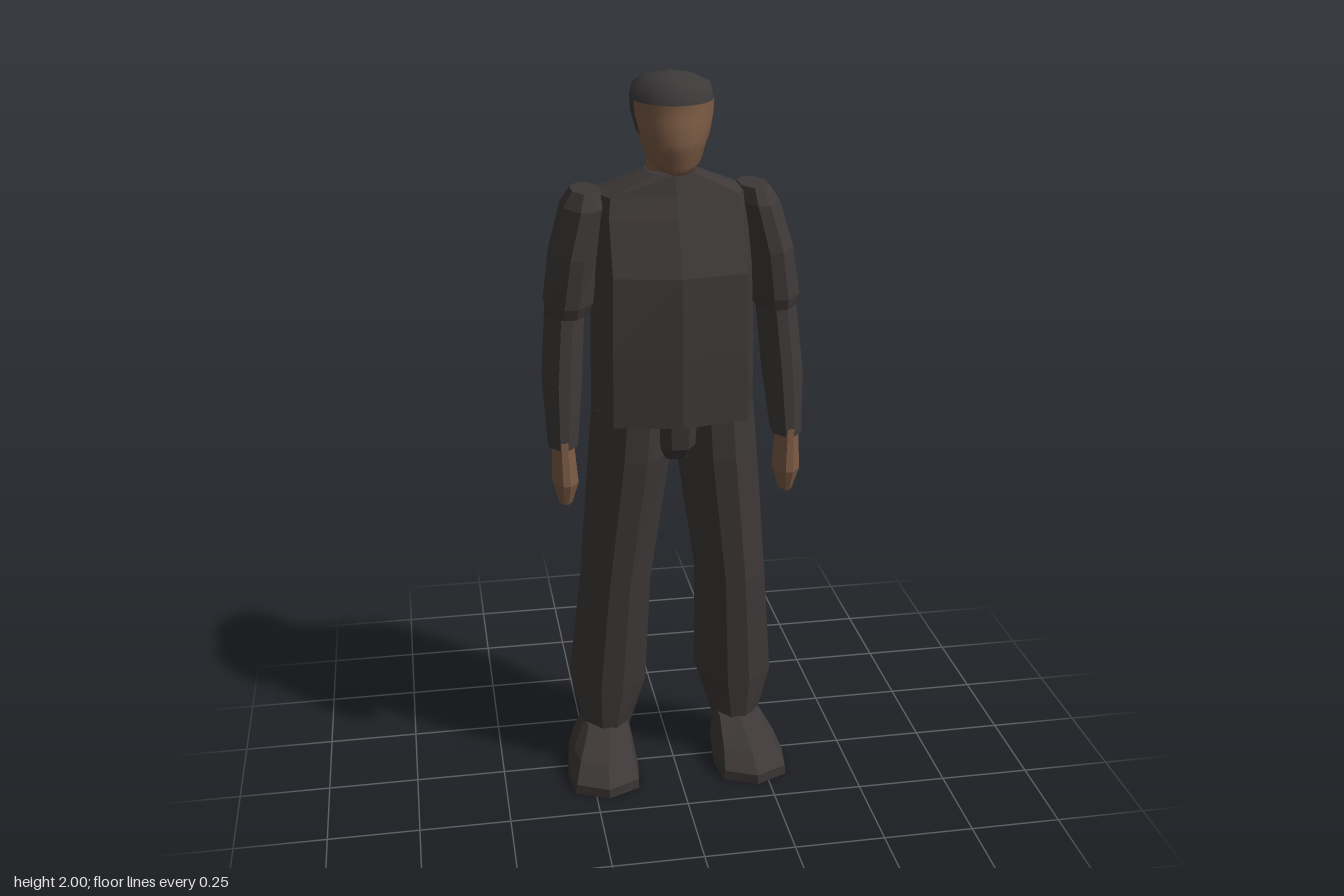
import * as THREE from 'three';

const mat = (name, color, flatShading = true) => {
  const m = new THREE.MeshStandardMaterial({ color, flatShading });
  m.name = name;
  return m;
};

// Outlines seen from above: [x, z] from the front round the +x side to the back
const OUTLINES = {
  torso: [[0, 1], [0.84, 0.8], [1, 0.2], [1, -0.4], [0.84, -0.8], [0, -1]],
  limb: [[0.3, 1], [1, 0.4], [1, -0.45], [0.35, -1]],
  foot: [[0, 1], [0.88, 0.77], [1, 0.25], [0.85, -0.6], [0.45, -1]],
};

// Mirrors a half outline into a closed loop
function closeOutline(half) {
  const other = half.filter(p => p[0] > 0).reverse().map(([x, z]) => [-x, z]);
  return [...half, ...other];
}

// Joins rings of points from bottom to top; keep(i, j) selects quads
function loft(rings, caps = true, keep = () => true) {
  const n = rings[0].length;
  const pos = rings.flat(2);
  const index = [];
  for (let i = 0; i < rings.length - 1; i++) {
    for (let j = 0; j < n; j++) {
      if (!keep(i, j)) continue;
      const k = (j + 1) % n, a = i * n + j, b = i * n + k;
      index.push(a, b, b + n, a, b + n, a + n);
    }
  }
  if (caps) {
    const top = (rings.length - 1) * n;
    for (let j = 1; j < n - 1; j++) {
      index.push(0, j + 1, j, top, top + j, top + j + 1);
    }
  }
  const g = new THREE.BufferGeometry();
  g.setAttribute('position', new THREE.Float32BufferAttribute(pos, 3));
  g.setIndex(index);
  g.computeVertexNormals();
  return g;
}

// Sections are [y, xMin, xMax, zBack, zFront]; side -1 mirrors across x
function solid(name, material, outline, sections, side = 1) {
  const loop = closeOutline(OUTLINES[outline]);
  const rings = sections.map(([y, x0, x1, z0, z1]) => {
    const cx = side * (x0 + x1) / 2, cz = (z0 + z1) / 2;
    return loop.map(([x, z]) => [cx + x * (x1 - x0) / 2, y, cz + z * (z1 - z0) / 2]);
  });
  const mesh = new THREE.Mesh(loft(rings), material);
  mesh.name = name;
  return mesh;
}

// Head rings: [front y, back y, half width, front z, back z]
const HEAD = [
  [1.755, 1.80, 0.055, 0.09, -0.08],
  [1.775, 1.815, 0.072, 0.105, -0.105],
  [1.81, 1.84, 0.083, 0.107, -0.13],
  [1.84, 1.87, 0.094, 0.12, -0.147],
  [1.89, 1.91, 0.106, 0.102, -0.155],
  [1.93, 1.94, 0.109, 0.098, -0.157],
  [1.97, 1.97, 0.1, 0.088, -0.15],
  [1.988, 1.988, 0.062, 0.04, -0.11],
  [2, 2, 0.001, -0.035, -0.037],
];

function createHead(skin, hair) {
  const N = 20;
  const rings = HEAD.map(([yf, yb, w, zf, zb]) => Array.from({ length: N }, (_, j) => {
    const a = (j / N) * Math.PI * 2, c = Math.cos(a);
    return [w * Math.sin(a), yf + (yb - yf) * (1 - c) / 2, (zf + zb) / 2 + c * (zf - zb) / 2];
  }));
  // Hair covers the crown, the sides and the back
  const isHair = (i, j) => {
    const k = (j + 0.5) / N, fromFront = Math.min(k, 1 - k) * N;
    return i >= 5 || fromFront > (i >= 3 ? 4 : i >= 2 ? 5 : 6);
  };
  const head = new THREE.Group();
  head.name = 'head';
  const face = new THREE.Mesh(loft(rings, true, (i, j) => !isHair(i, j)), skin);
  face.name = 'face';
  const cap = new THREE.Mesh(loft(rings, false, isHair), hair);
  cap.name = 'hair';
  head.add(face, cap);
  return head;
}

export function createModel() {
  const cloth = mat('dark cloth', 0x3e3838);
  const skin = mat('skin', 0x7a5a44);
  const faceSkin = skin.clone();
  faceSkin.name = 'face skin';
  faceSkin.flatShading = false;
  const hair = mat('hair', 0x3c3939, false);
  const model = new THREE.Group();
  model.name = 'standingMan';

  // Jacket, neck and the seat between the legs
  model.add(
    solid('torso', cloth, 'torso', [
      [1.10, -0.215, 0.215, -0.188, 0.16],
      [1.30, -0.213, 0.213, -0.172, 0.157],
      [1.50, -0.208, 0.208, -0.183, 0.145],
      [1.64, -0.208, 0.208, -0.193, 0.078],
      [1.69, -0.2, 0.2, -0.175, 0.05],
      [1.745, -0.065, 0.065, -0.125, 0.03],
    ]),
    solid('neck', skin, 'limb', [
      [1.71, -0.06, 0.06, -0.115, 0.0],
      [1.83, -0.055, 0.055, -0.105, 0.0],
    ]),
    solid('seat', cloth, 'limb', [
      [0.975, -0.065, 0.065, -0.09, 0.06],
      [1.02, -0.075, 0.075, -0.14, 0.11],
      [1.12, -0.085, 0.085, -0.15, 0.12],
    ]),
    createHead(faceSkin, hair),
  );

  // Limbs on both sides
  for (const side of [1, -1]) {
    const arm = new THREE.Group();
    arm.name = side > 0 ? 'leftArm' : 'rightArm';
    arm.add(
      solid('upperArm', cloth, 'limb', [
        [1.38, 0.225, 0.335, -0.115, 0.06],
        [1.41, 0.215, 0.34, -0.12, 0.07],
        [1.54, 0.2, 0.32, -0.145, 0.075],
        [1.66, 0.175, 0.285, -0.16, 0.055],
        [1.70, 0.185, 0.26, -0.13, 0.02],
      ], side),
      solid('forearm', cloth, 'limb', [
        [1.03, 0.268, 0.345, -0.02, 0.09],
        [1.20, 0.25, 0.352, -0.075, 0.065],
        [1.40, 0.235, 0.335, -0.11, 0.03],
      ], side),
      solid('hand', skin, 'limb', [
        [0.87, 0.287, 0.322, 0.015, 0.08],
        [0.93, 0.27, 0.338, 0.005, 0.1],
        [1.05, 0.28, 0.335, 0.0, 0.09],
      ], side),
    );

    const leg = new THREE.Group();
    leg.name = side > 0 ? 'leftLeg' : 'rightLeg';
    leg.add(
      solid('trouserLeg', cloth, 'limb', [
        [0.11, 0.125, 0.258, -0.15, 0.02],
        [0.26, 0.08, 0.29, -0.16, 0.042],
        [0.60, 0.07, 0.258, -0.105, 0.08],
        [0.99, 0.015, 0.225, -0.14, 0.115],
        [1.12, 0.01, 0.213, -0.15, 0.118],
      ], side),
      solid('shoe', cloth, 'foot', [
        [0, 0.112, 0.318, -0.158, 0.188],
        [0.03, 0.115, 0.315, -0.158, 0.19],
        [0.075, 0.122, 0.296, -0.158, 0.135],
        [0.13, 0.13, 0.258, -0.15, 0.025],
      ], side),
    );
    model.add(arm, leg);
  }
  return model;
}
